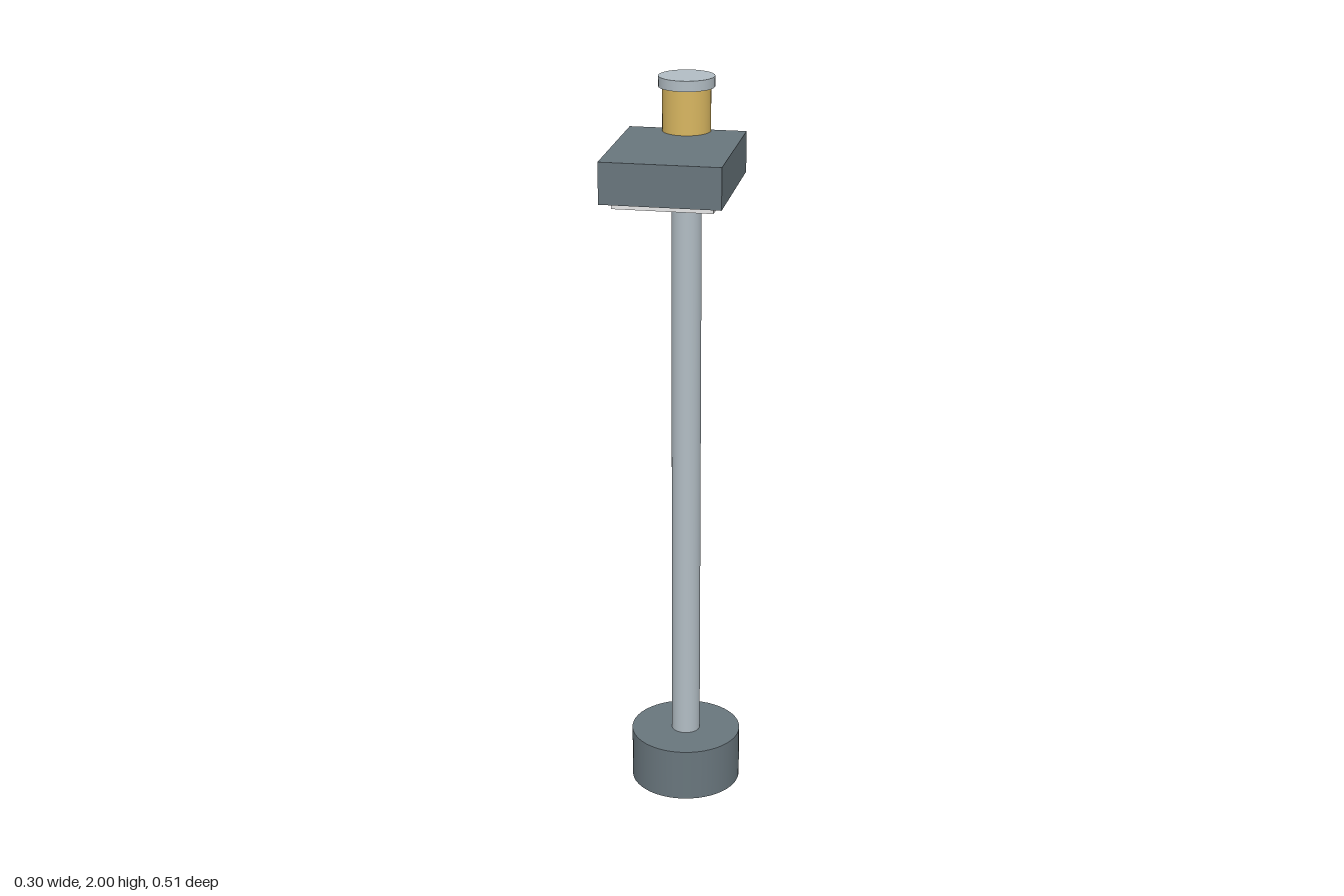
import * as THREE from 'three';

const AXIS_Z = -0.107;

function material(name, color) {
  const m = new THREE.MeshStandardMaterial({ color });
  m.name = name;
  return m;
}

export function createModel() {
  const group = new THREE.Group();
  group.name = 'streetLamp';
  const slate = material('slate grey', 0x69767d);
  const steel = material('light steel', 0xb2bdc4);
  const amber = material('amber', 0xd8b660);
  const lens = material('white lens', 0xe8e8e8);

  // Upright cylinder on the pole axis, from y0 to y1
  function round(name, r, y0, y1, mat) {
    const mesh = new THREE.Mesh(new THREE.CylinderGeometry(r, r, y1 - y0, 48), mat);
    mesh.position.set(0, (y0 + y1) / 2, AXIS_Z);
    mesh.name = name;
    group.add(mesh);
  }

  // Box spanning the given height and depth, centred on x
  function slab(name, width, y0, y1, z0, z1, mat) {
    const mesh = new THREE.Mesh(new THREE.BoxGeometry(width, y1 - y0, z1 - z0), mat);
    mesh.position.set(0, (y0 + y1) / 2, (z0 + z1) / 2);
    mesh.name = name;
    group.add(mesh);
  }

  // Post with its foot
  round('base', 0.151, 0, 0.147, slate);
  round('pole', 0.039, 0.147, 1.775, steel);

  // Lamp head, with the lens below
  round('collar', 0.082, 1.775, 1.842, slate);
  slab('lampHead', 0.302, 1.755, 1.86, -0.125, 0.257, slate);
  slab('lens', 0.252, 1.737, 1.755, -0.085, 0.225, lens);

  // Light sensor on top
  round('sensor', 0.062, 1.842, 1.973, amber);
  round('sensorCap', 0.072, 1.973, 2, steel);

  return group;
}
